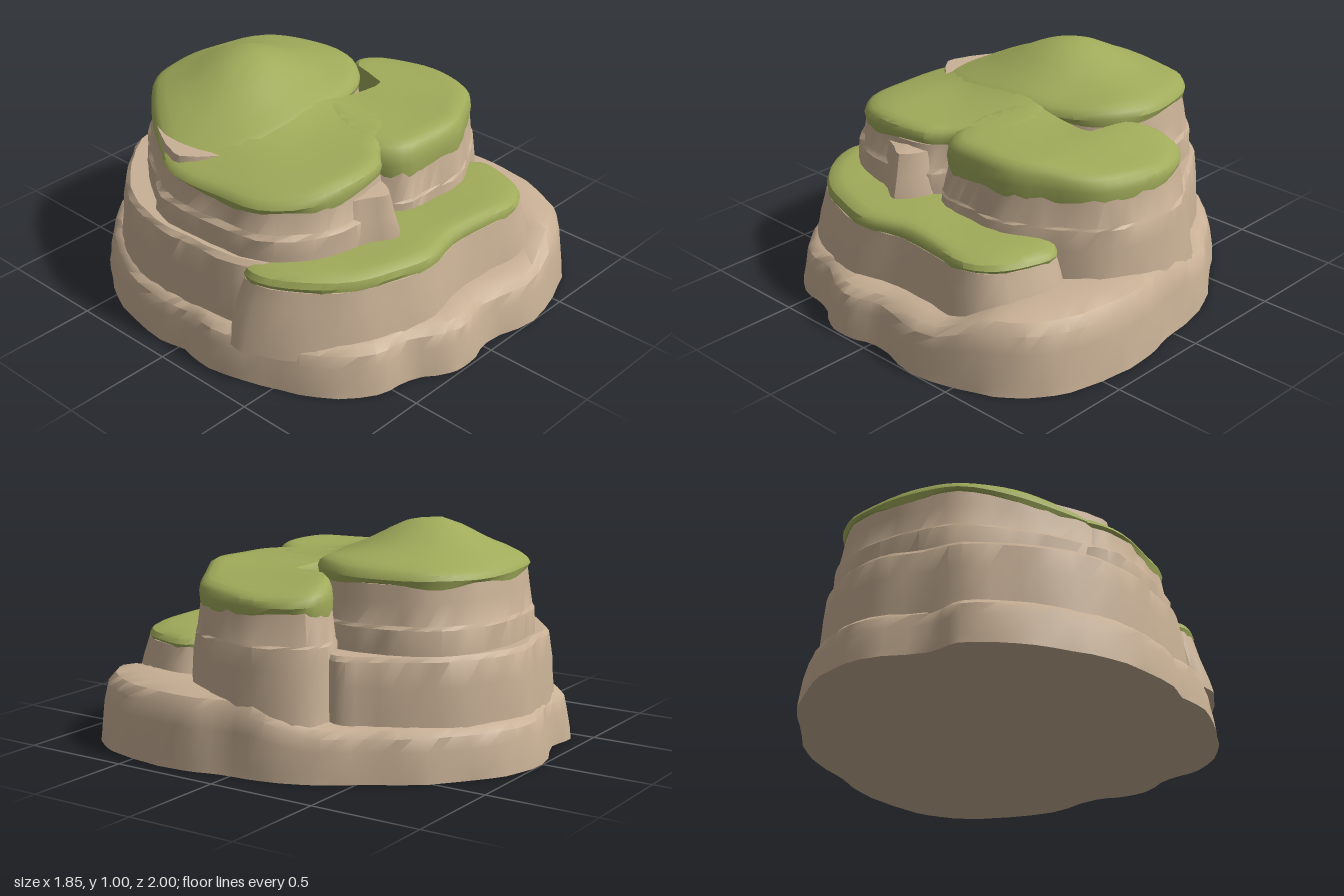
import * as THREE from 'three';
import { toCreasedNormals } from 'three/addons/utils/BufferGeometryUtils.js';

const rock = new THREE.MeshStandardMaterial({ color: 0xc8b095 });
rock.name = 'sandy rock';
const grass = new THREE.MeshStandardMaterial({ color: 0xa0ab5a });
grass.name = 'grass green';

const smooth = THREE.MathUtils.smoothstep;

// Closed loft of one outline: rings are [scale about the centre, height or height(x, z)], bottom to top
function loft(name, material, [cx, cz], outline, rings, rough = 0) {
  const curve = new THREE.CatmullRomCurve3(outline.map(([x, z]) => new THREE.Vector3(x, 0, z)), true);
  const n = outline.length * 3;
  const points = curve.getPoints(n).slice(0, n);
  const grid = rings.map(([s, y], r) => points.map((p, i) => {
    const k = s * (1 + rough * Math.sin(i * 2.1 + r * 0.7) * Math.sin(i * 0.63 + r * 1.9));
    const x = cx + (p.x - cx) * k, z = cz + (p.z - cz) * k;
    return [x, typeof y === 'function' ? y(x, z) : y, z];
  }));
  const pos = [];
  for (let r = 0; r + 1 < rings.length; r++) {
    for (let i = 0; i < n; i++) {
      const j = (i + 1) % n;
      const a = grid[r][i], b = grid[r][j], c = grid[r + 1][i], d = grid[r + 1][j];
      if (rings[r][0] > 0) pos.push(...a, ...c, ...b);
      if (rings[r + 1][0] > 0) pos.push(...b, ...c, ...d);
    }
  }
  const geometry = new THREE.BufferGeometry();
  geometry.setAttribute('position', new THREE.Float32BufferAttribute(pos, 3));
  const mesh = new THREE.Mesh(toCreasedNormals(geometry, 0.6), material);
  mesh.name = name;
  return mesh;
}

// Grass cushion with a rounded rim and a top that follows height(x, z)
function turf(name, centre, outline, bottom, height) {
  const mix = (t) => (x, z) => bottom(x, z) + (height(x, z) - bottom(x, z)) * t;
  const wavy = (x, z) => bottom(x, z) + 0.012 * Math.sin(x * 13 + z * 9);
  return loft(name, grass, centre, outline, [
    [0, bottom], [0.93, bottom], [0.99, wavy], [1.005, mix(0.4)], [0.985, mix(0.72)], [0.94, mix(0.9)],
    [0.86, height], [0.72, height], [0.56, height], [0.4, height], [0.22, height], [0, height],
  ]);
}

// Summit shape
const hill = (x, z) => 0.195 * Math.exp(-(((x + 0.08) / 0.33) ** 2) - ((z + 0.38) / 0.32) ** 2);
const plain = (x, z) => 0.81 - 0.05 * smooth(Math.abs(x), 0.4, 0.78) + 0.006 * Math.sin(x * 9 + 1) * Math.sin(z * 8);
const plateauTop = (x, z) => plain(x, z) + hill(x, z) * (1 - smooth(x, 0, 0.3)) - 0.004;
const domeTop = (x, z) => plain(x, z) + hill(x, z) + 0.035 * smooth(x, 0.1, 0.4);

const baseLine = [
  [0.88, 0.05], [0.92, 0.2], [0.92, 0.42], [0.87, 0.65], [0.77, 0.81], [0.6, 0.92], [0.3, 1], [0.03, 0.95],
  [-0.13, 0.99], [-0.25, 0.97], [-0.4, 0.88], [-0.57, 0.85], [-0.75, 0.68], [-0.85, 0.45], [-0.92, 0.2],
  [-0.9, 0.03], [-0.92, -0.1], [-0.87, -0.4], [-0.75, -0.62], [-0.6, -0.8], [-0.42, -0.92], [-0.27, -0.91],
  [0, -1], [0.23, -0.95], [0.42, -0.82], [0.55, -0.7], [0.66, -0.53], [0.77, -0.38], [0.86, -0.15],
];
const tierLine = [
  [0.64, -0.36], [0.5, -0.1], [0.2, 0.2], [-0.3, 0.4], [-0.72, 0.42], [-0.82, 0.25], [-0.84, 0], [-0.85, -0.15],
  [-0.8, -0.4], [-0.68, -0.6], [-0.52, -0.75], [-0.38, -0.85], [-0.2, -0.88], [0, -0.93], [0.2, -0.88],
  [0.38, -0.77], [0.5, -0.62], [0.58, -0.48],
];
const ledgeLine = [
  [0.6, 0.45], [0.58, 0.6], [0.52, 0.72], [0.4, 0.79], [0.2, 0.78], [0, 0.77], [-0.2, 0.81], [-0.38, 0.77],
  [-0.55, 0.7], [-0.7, 0.56], [-0.79, 0.38], [-0.77, 0.28], [-0.5, 0.2], [0, 0.2], [0.45, 0.35],
];
const lobeLine = [
  [0.4, -0.02], [0.45, -0.22], [0.55, -0.28], [0.68, -0.25], [0.77, -0.05], [0.75, 0.15], [0.68, 0.3],
  [0.5, 0.42], [0.35, 0.5], [0.15, 0.5], [0, 0.48], [-0.08, 0.38], [-0.1, 0.2], [0, 0], [0.2, -0.02],
];
const shoulderLine = [
  [-0.06, 0.4], [-0.15, 0.48], [-0.35, 0.51], [-0.55, 0.46], [-0.7, 0.3], [-0.73, 0.1], [-0.74, -0.15],
  [-0.68, -0.3], [-0.5, -0.4], [-0.2, -0.3], [0.1, -0.1], [0.2, 0.1], [0.15, 0.3],
];
const domeLine = [
  [0.46, -0.3], [0.4, -0.15], [0.3, -0.05], [0.15, 0], [-0.2, 0.05], [-0.5, 0], [-0.7, -0.18], [-0.67, -0.3],
  [-0.55, -0.5], [-0.45, -0.62], [-0.3, -0.76], [-0.15, -0.8], [0.03, -0.81], [0.25, -0.76], [0.38, -0.65],
  [0.44, -0.5],
];
const buttressLine = [[-0.1, 0.48], [-0.19, 0.63], [-0.3, 0.57], [-0.42, 0.5], [-0.3, 0.35], [-0.15, 0.35]];

export function createModel() {
  const group = new THREE.Group();
  group.name = 'grassyRockHill';

  // Broad foot, raised at the front right
  const foot = (y) => (x, z) => y * (1 + 0.42 * smooth(x, 0.35, 0.6) * smooth(z, -0.35, -0.05));
  group.add(loft('rockBase', rock, [0, 0], baseLine, [
    [0, 0], [1, 0], [0.995, 0.04], [0.98, foot(0.13)], [0.965, foot(0.185)], [0.93, foot(0.215)],
    [0.86, foot(0.228)], [0.75, foot(0.235)], [0, 0.235],
  ], 0.004));

  // Stepped rock walls
  group.add(loft('backTier', rock, [-0.05, -0.2], tierLine, [
    [0, 0.15], [1.01, 0.15], [1, 0.25], [0.985, 0.38], [0.965, 0.485], [0.94, 0.505], [0.8, 0.505], [0, 0.505],
  ], 0.006));
  group.add(loft('frontLedgeWall', rock, [-0.1, 0.4], ledgeLine, [
    [0, 0.15], [1.13, 0.15], [1.1, 0.24], [1.04, 0.36], [1, 0.44], [0.9, 0.455], [0, 0.455],
  ], 0.01));
  group.add(loft('rightLobeWall', rock, [0.35, 0.15], lobeLine, [
    [0, 0.18], [1.15, 0.18], [1.12, 0.3], [1.08, 0.45], [1.06, 0.54], [1.04, 0.55], [0.98, 0.69], [0, 0.69],
  ], 0.015));
  group.add(loft('leftShoulderWall', rock, [-0.25, 0.1], shoulderLine, [
    [0, 0.4], [1.09, 0.4], [1.07, 0.53], [1.06, 0.6], [1.02, 0.62], [0.98, 0.73], [0, 0.73],
  ], 0.012));
  group.add(loft('frontButtress', rock, [-0.25, 0.44], buttressLine, [
    [0, 0.42], [1.02, 0.42], [0.98, 0.52], [0.85, 0.6], [0.72, 0.7], [0, 0.72],
  ]));
  group.add(loft('backTowerWall', rock, [-0.05, -0.35], domeLine, [
    [0, 0.18], [1.1, 0.18], [1.07, 0.48], [1.055, 0.61], [1.03, 0.625], [1, 0.72], [0.975, 0.79], [0, 0.79],
  ], 0.008));

  // Grass on each terrace
  group.add(turf('ledgeGrass', [-0.1, 0.4], ledgeLine,
    () => 0.425, (x, z) => 0.505 - 0.012 * smooth(x, 0, 0.5) + 0.005 * Math.sin(x * 12) * Math.sin(z * 9)));
  group.add(turf('rightLobeGrass', [0.35, 0.15], lobeLine,
    (x) => 0.65 + 0.02 * smooth(x, 0.3, 0.7), plateauTop));
  group.add(turf('leftShoulderGrass', [-0.25, 0.1], shoulderLine,
    (x) => 0.725 - 0.02 * smooth(-x, 0.3, 0.7), plateauTop));
  group.add(turf('summitGrass', [-0.05, -0.35], domeLine,
    (x) => 0.785 - 0.075 * smooth(-x, 0.3, 0.7), domeTop));
  return group;
}
